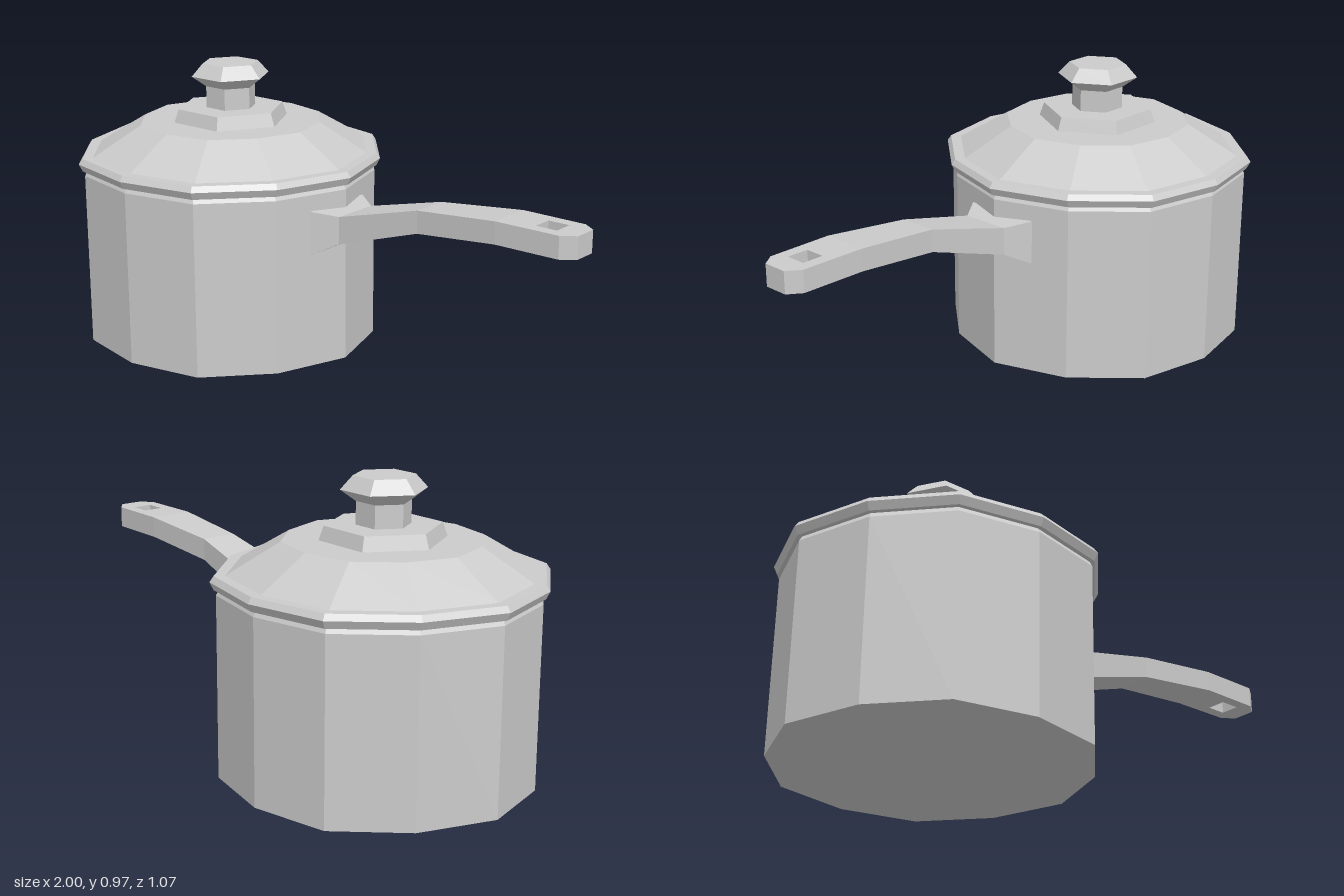
import * as THREE from 'three';

const material = new THREE.MeshStandardMaterial({ color: 0xcccccc, flatShading: true });
const POT_X = -0.452;

function addMesh(parent, name, geometry) {
  const mesh = new THREE.Mesh(geometry, material);
  mesh.name = name;
  parent.add(mesh);
  return mesh;
}

// Faceted turned part; every second corner is pulled in by the factor 'pull'
function turned(profile, sides, pull = 1) {
  const points = profile.map(([r, y]) => new THREE.Vector2(r, y));
  const geometry = new THREE.LatheGeometry(points, sides, Math.PI / 2);
  const pos = geometry.attributes.position;
  for (let i = 0; i < pos.count; i++) {
    const s = Math.floor(i / points.length) % 2 ? pull : 1;
    pos.setX(i, pos.getX(i) * s);
    pos.setZ(i, pos.getZ(i) * s);
  }
  return geometry.translate(POT_X, 0, 0);
}

// Rectangular sections [x, bottom, top, halfWidth] joined along x
function loft(sections) {
  const verts = [], index = [];
  for (const [x, lo, hi, w] of sections) {
    verts.push(x, hi, -w, x, hi, w, x, lo, w, x, lo, -w);
  }
  for (let s = 0; s < sections.length - 1; s++) {
    for (let k = 0; k < 4; k++) {
      const a = s * 4 + k, b = s * 4 + (k + 1) % 4;
      index.push(b, b + 4, a + 4, b, a + 4, a);
    }
  }
  index.push(0, 2, 1, 0, 3, 2);
  const geometry = new THREE.BufferGeometry();
  geometry.setAttribute('position', new THREE.Float32BufferAttribute(verts, 3));
  geometry.setIndex(index);
  geometry.computeVertexNormals();
  return geometry;
}

export function createModel() {
  const model = new THREE.Group();
  model.name = 'saucepan';

  // Twelve-sided pot
  addMesh(model, 'pot', turned([[0, 0], [0.528, 0], [0.528, 0.607], [0.517, 0.628]], 12, 0.972));

  // Lid with bevelled rim and sloping dome
  const lid = new THREE.Group();
  lid.name = 'lid';
  model.add(lid);
  addMesh(lid, 'lidDome', turned([
    [0, 0.624], [0.535, 0.624], [0.548, 0.65], [0.535, 0.669],
    [0.498, 0.669], [0.326, 0.771], [0, 0.771],
  ], 12, 0.972));

  // Six-sided knob on a stepped base
  addMesh(lid, 'knob', turned([
    [0.206, 0.771], [0.19, 0.817], [0.089, 0.817], [0.089, 0.892],
    [0.14, 0.929], [0.1, 0.973], [0, 0.973],
  ], 6));

  // Handle: flared mount and rising grip
  const handle = new THREE.Group();
  handle.name = 'handle';
  model.add(handle);
  addMesh(handle, 'handleGrip', loft([
    [0.036, 0.4, 0.552, 0.136],
    [0.117, 0.443, 0.538, 0.085],
    [0.425, 0.539, 0.616, 0.065],
    [0.73, 0.571, 0.645, 0.078],
  ]));

  // Handle tip: chamfered end with a hanging hole
  const tip = new THREE.Shape([
    [0.73, -0.078], [0.955, -0.075], [1, -0.042],
    [1, 0.042], [0.955, 0.075], [0.73, 0.078],
  ].map(([x, z]) => new THREE.Vector2(x, z)));
  tip.holes.push(new THREE.Path([
    [0.848, -0.035], [0.848, 0.035], [0.922, 0.035], [0.922, -0.035],
  ].map(([x, z]) => new THREE.Vector2(x, z))));
  const tipGeometry = new THREE.ExtrudeGeometry(tip, { depth: 0.074, bevelEnabled: false });
  tipGeometry.rotateX(-Math.PI / 2).translate(0, 0.571, 0);
  addMesh(handle, 'handleTip', tipGeometry);

  return model;
}
